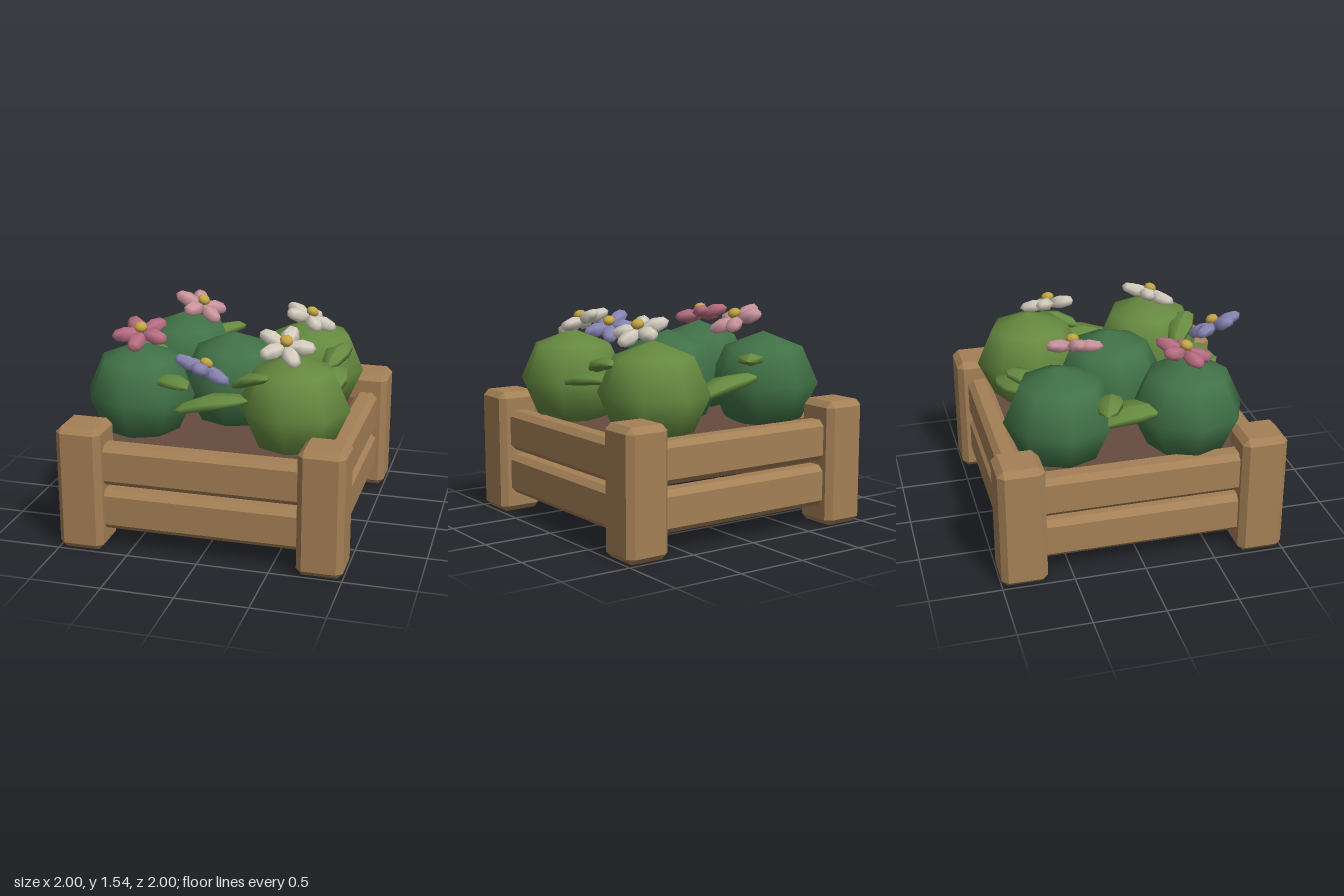
import * as THREE from 'three';
import { ConvexGeometry } from 'three/addons/geometries/ConvexGeometry.js';

const material = (name, color) => {
  const m = new THREE.MeshStandardMaterial({ color });
  m.name = name;
  return m;
};

// Box with bevelled edges: three corner points around each of the eight corners
function chamferBox(w, h, d, c) {
  const points = [];
  for (const x of [-1, 1]) for (const y of [-1, 1]) for (const z of [-1, 1]) {
    const [a, b, e] = [w / 2, h / 2, d / 2];
    points.push(
      new THREE.Vector3(x * a, y * (b - c), z * (e - c)),
      new THREE.Vector3(x * (a - c), y * b, z * (e - c)),
      new THREE.Vector3(x * (a - c), y * (b - c), z * e));
  }
  return new ConvexGeometry(points);
}

// Pointed lens-shaped leaf along x whose tips droop
function leafGeometry(halfLength, halfWidth) {
  const g = new THREE.SphereGeometry(1, 6, 4).rotateZ(-Math.PI / 2);
  const p = g.attributes.position;
  for (let i = 0; i < p.count; i++) {
    const x = p.getX(i);
    p.setXYZ(i, x * halfLength, p.getY(i) * 0.045 - x * x * 0.03, p.getZ(i) * halfWidth);
  }
  g.computeVertexNormals();
  return g;
}

export function createModel() {
  const model = new THREE.Group();
  const wood = material('wood', 0xa48056);
  const soil = material('soil', 0x654c3f);
  const darkGreen = material('dark green', 0x417247);
  const lightGreen = material('light green', 0x668a40);
  const rose = material('rose', 0xb96e82);
  const pink = material('pink', 0xcc969f);
  const cream = material('cream', 0xd5cec0);
  const violet = material('violet', 0x8a87b5);
  const yellow = material('yellow', 0xc4a545);

  const add = (parent, name, geometry, mat, x = 0, y = 0, z = 0) => {
    const mesh = new THREE.Mesh(geometry, mat);
    mesh.name = name;
    mesh.position.set(x, y, z);
    parent.add(mesh);
    return mesh;
  };

  // Crate: corner posts, two rails on each side, bed of soil
  const post = chamferBox(0.32, 0.89, 0.32, 0.042);
  for (const x of [-1, 1]) for (const z of [-1, 1]) add(model, 'cornerPost', post, wood, x * 0.84, 0.445, z * 0.84);

  const rail = chamferBox(1.46, 0.29, 0.17, 0.04);
  for (let side = 0; side < 4; side++) {
    const panel = new THREE.Group();
    panel.name = 'sidePanel';
    panel.rotation.y = side * Math.PI / 2;
    add(panel, 'lowerRail', rail, wood, 0, 0.288, 0.845);
    add(panel, 'upperRail', rail, wood, 0, 0.612, 0.845);
    model.add(panel);
  }
  add(model, 'soilBed', new THREE.BoxGeometry(1.66, 0.06, 1.66), soil, 0, 0.675, 0);

  // Round bushes with octagonal outlines: x, z, colour
  const bush = new THREE.SphereGeometry(1, 8, 4).scale(0.39, 0.362, 0.395);
  [
    [0, 0, darkGreen],
    [-0.5, -0.475, darkGreen],
    [-0.575, 0.4, darkGreen],
    [0.46, -0.485, lightGreen],
    [0.535, 0.435, lightGreen],
  ].forEach(([x, z, mat]) => add(model, 'bush', bush, mat, x, 0.998, z));

  // Leaves: x, y, z, turn about y, upward tilt
  const largeLeaf = leafGeometry(0.27, 0.155);
  const smallLeaf = leafGeometry(0.18, 0.1);
  const addLeaf = (name, g, x, y, z, turn, tilt) =>
    add(model, name, g, lightGreen, x, y, z).rotation.set(0, turn, tilt, 'YXZ');
  addLeaf('largeLeaf', largeLeaf, 0, 1.05, 0.66, 0, 0.22);
  addLeaf('largeLeaf', largeLeaf, 0, 1.05, -0.69, Math.PI, 0.22);
  addLeaf('largeLeaf', largeLeaf, 0.68, 1.06, -0.02, Math.PI / 2, 0.15);
  addLeaf('largeLeaf', largeLeaf, -0.68, 1.06, -0.02, -Math.PI / 2, 0.15);
  addLeaf('smallLeaf', smallLeaf, -0.29, 1.16, 0.61, -0.6, 0.08);
  addLeaf('smallLeaf', smallLeaf, 0.27, 1.22, 0.62, -0.6, 0.38);
  addLeaf('smallLeaf', smallLeaf, 0.7, 1.19, -0.23, 1.35, 0.22);
  addLeaf('smallLeaf', smallLeaf, -0.71, 1.16, -0.18, 2.8, 0.08);
  addLeaf('smallLeaf', smallLeaf, -0.25, 1.19, -0.64, 0.8, 0.2);

  // Flowers: five plump petals around a button centre, leaning along a normal
  const petal = new THREE.SphereGeometry(1, 6, 4).rotateX(Math.PI / 2).scale(0.066, 0.05, 0.1);
  const button = new THREE.SphereGeometry(1, 8, 6).scale(0.047, 0.035, 0.047);
  const up = new THREE.Vector3(0, 1, 0);
  const addFlower = (name, mat, position, normal, turn) => {
    const flower = new THREE.Group();
    flower.name = name;
    flower.position.set(...position);
    flower.quaternion.setFromUnitVectors(up, new THREE.Vector3(...normal).normalize());
    for (let i = 0; i < 5; i++) {
      const a = turn + i * Math.PI * 2 / 5;
      add(flower, 'petal', petal, mat, Math.sin(a) * 0.112, 0, Math.cos(a) * 0.112).rotation.y = a;
    }
    add(flower, 'flowerCentre', button, yellow, 0, 0.05, 0);
    model.add(flower);
  };
  addFlower('roseFlower', rose, [-0.575, 1.41, 0.37], [0, 0.95, 0.32], 0);
  addFlower('pinkFlower', pink, [-0.355, 1.44, -0.35], [0.4, 0.9, 0.1], -0.25);
  addFlower('creamFlower', cream, [0.465, 1.41, 0.42], [0.22, 0.9, 0.38], 0.6);
  addFlower('creamFlower', cream, [0.47, 1.41, -0.335], [0.38, 0.92, -0.06], 0.5);
  addFlower('violetFlower', violet, [-0.005, 1.315, 0.785], [0.36, 0.87, -0.32], 0.05);

  return model;
}
